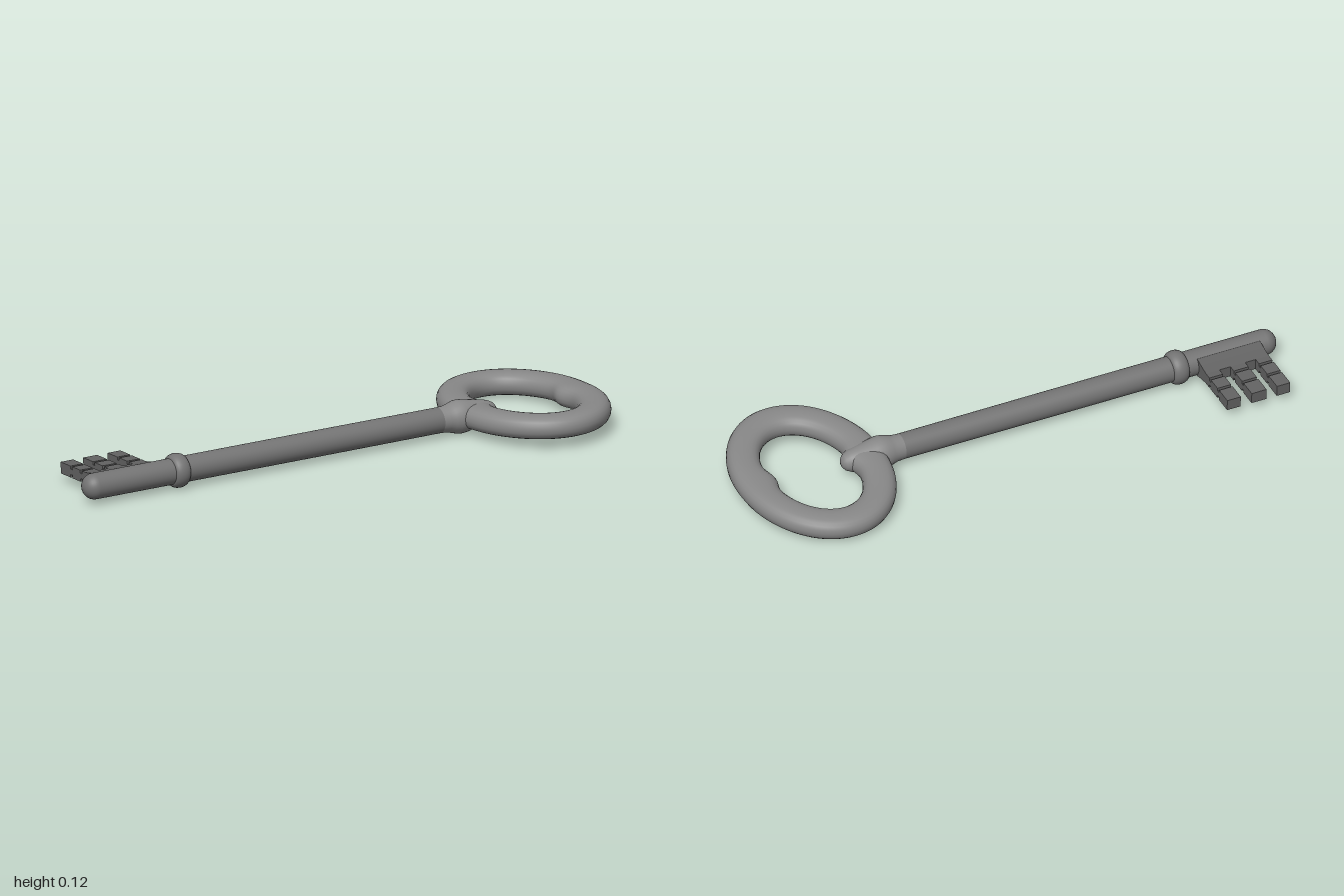
import * as THREE from 'three';
import { ParametricGeometry } from 'three/addons/geometries/ParametricGeometry.js';

const bowSteel = new THREE.MeshStandardMaterial({ color: 0x888888 });
const shaftSteel = new THREE.MeshStandardMaterial({ color: 0x747474 });
const bitSteel = new THREE.MeshStandardMaterial({ color: 0x636363 });

function part(name, geometry, material) {
  const mesh = new THREE.Mesh(geometry, material);
  mesh.name = name;
  return mesh;
}

// Turned part lying along z; each point is [radius, z]
function turned(points, segments = 32) {
  const g = new THREE.LatheGeometry(points.map(([r, z]) => new THREE.Vector2(r, z)), segments);
  return g.rotateX(Math.PI / 2);
}

// Outline in x/y, extruded along z from z0 to z1
function slab(points, z0, z1) {
  const shape = new THREE.Shape(points.map(([x, y]) => new THREE.Vector2(x, y)));
  const g = new THREE.ExtrudeGeometry(shape, { depth: z1 - z0, bevelEnabled: false });
  return g.translate(0, 0, z0);
}

// Upper edge mirrored downwards to give a closed outline
function mirrored(top) {
  return [...top, ...top.map(([x, y]) => [x, -y]).reverse()];
}

// Oval ring between an outer and an inner ellipse, with a small bump inside at each end of the axis
function bowGeometry() {
  const outer = [0.373, 0.281], inner = [0.25, 0.16], centreZ = -0.754, halfHeight = 0.043;
  const point = (u, v, target) => {
    const a = u * Math.PI * 2, f = v * Math.PI * 2;
    const c = Math.cos(a), s = Math.sin(a);
    const bump = 0.024 * Math.exp(-((c / 0.2) ** 2));
    const ix = inner[0] * c, iz = inner[1] * s - bump * Math.sign(s);
    const t = 0.5 + 0.5 * Math.cos(f);
    const fullness = 1 + 0.25 * Math.cos(f) ** 2;
    target.set(
      ix + (outer[0] * c - ix) * t,
      -halfHeight * Math.sin(f) * fullness,
      centreZ + iz + (outer[1] * s - iz) * t
    );
  };
  return new ParametricGeometry(point, 96, 24);
}

// One tooth with narrow grooves cut across its top and bottom
function toothOutline(grooves) {
  const h = 0.021, depth = 0.011, half = 0.006;
  const top = [[-0.09, h]];
  for (const x of grooves) {
    top.push([x + half, h], [x + half, h - depth], [x - half, h - depth], [x - half, h]);
  }
  top.push([-0.272, h]);
  return mirrored(top);
}

export function createModel() {
  const key = new THREE.Group();
  key.name = 'key';

  key.add(part('bow', bowGeometry(), bowSteel));

  // Knob joining the shaft to the bow
  key.add(part('bowKnob', turned([
    [0, -0.637], [0.016, -0.634], [0.029, -0.624], [0.039, -0.605], [0.046, -0.575], [0.052, -0.54],
    [0.058, -0.51], [0.061, -0.488], [0.059, -0.468], [0.053, -0.448], [0.048, -0.43], [0.046, -0.4]
  ]), bowSteel));

  // Shaft with rounded tip
  const shaft = [[0.046, -0.48], [0.047, 0.1], [0.047, 0.66], [0.047, 1.022]];
  for (let i = 1; i <= 8; i++) {
    const a = (i / 8) * Math.PI / 2;
    shaft.push([0.047 * Math.cos(a), 1.022 + 0.045 * Math.sin(a)]);
  }
  key.add(part('shaft', turned(shaft), shaftSteel));

  // Raised collar above the bit
  const collar = [];
  for (let i = 0; i <= 12; i++) {
    const a = (i / 12) * Math.PI;
    collar.push([0.044 + 0.018 * Math.sin(a), 0.68 - 0.03 * Math.cos(a)]);
  }
  key.add(part('collar', turned(collar), shaftSteel));

  // Bit: a web that flares into the shaft, carrying three teeth
  const bit = new THREE.Group();
  bit.name = 'bit';
  const web = mirrored([[0, 0.038], [-0.035, 0.036], [-0.06, 0.029], [-0.085, 0.024], [-0.102, 0.021]]);
  bit.add(part('bitWeb', slab(web, 0.746, 0.993), bitSteel));
  for (const [z0, z1] of [[0.746, 0.799], [0.842, 0.9], [0.941, 0.993]]) {
    bit.add(part('bitTooth', slab(toothOutline([-0.135, -0.2]), z0, z1), bitSteel));
  }
  key.add(bit);

  // Lay the key diagonally with a slight roll about its own axis
  key.rotation.set(0, -0.368, 0.045, 'YXZ');
  key.position.set(-0.01, 0.065, 0);

  const model = new THREE.Group();
  model.name = 'model';
  model.add(key);
  return model;
}
